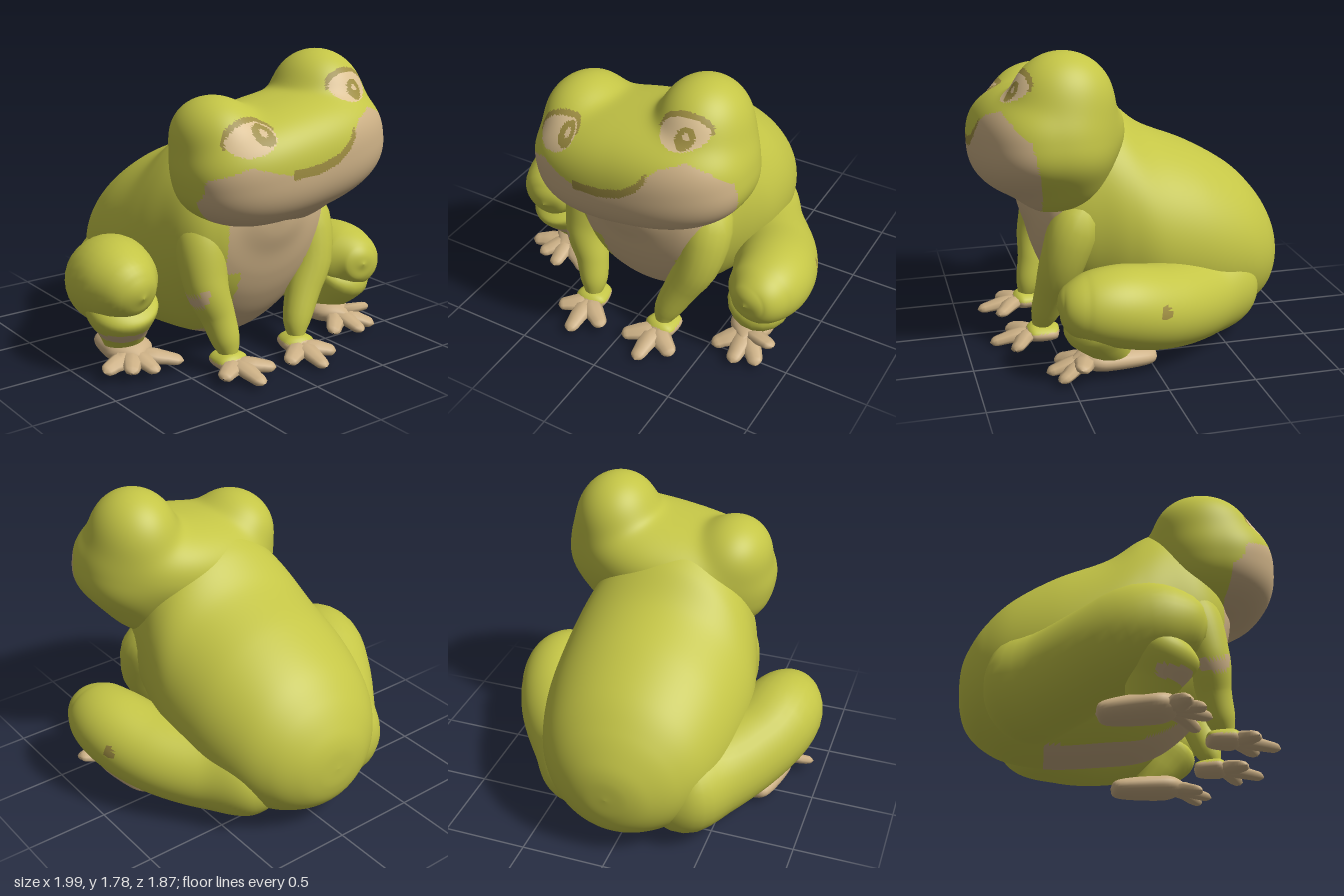
import * as THREE from 'three';
import { mergeVertices } from 'three/addons/utils/BufferGeometryUtils.js';

const flat = (name, color) => {
  const m = new THREE.MeshStandardMaterial({ color });
  m.name = name;
  return m;
};
const green = flat('skin green', 0xc4c546);
const tan = flat('belly tan', 0xccb085);
const cream = flat('eye cream', 0xdcc192);
const brown = flat('marking brown', 0x9f8e42);

const V = (x, y, z) => new THREE.Vector3(x, y, z);
const spline = (pts) => new THREE.CatmullRomCurve3(pts, false, 'catmullrom', 0.5);

// Closed-ring skin over rows of points
function skin(rows) {
  const n = rows[0].length, index = [];
  for (let i = 0; i < rows.length - 1; i++) {
    for (let j = 0; j < n; j++) {
      const a = i * n + j, b = i * n + (j + 1) % n;
      index.push(a, b, a + n, b, b + n, a + n);
    }
  }
  const g = new THREE.BufferGeometry().setFromPoints(rows.flat());
  g.setIndex(index);
  g.computeVertexNormals();
  return g;
}

// Tapering limb through points [x, y, z, radius]; squash scales its height
function limb(pts, squash = 1, steps = 24, sides = 18) {
  const path = spline(pts.map((p) => V(p[0], p[1], p[2])));
  const radius = spline(pts.map((p) => V(p[3], 0, 0)));
  const rows = [];
  for (let i = 0; i <= steps; i++) {
    const t = (1 - Math.cos(Math.PI * i / steps)) / 2;
    const c = path.getPoint(t), r = Math.max(radius.getPoint(t).x, 0.001);
    const T = path.getTangent(t);
    const N = V(1, 0, 0).addScaledVector(T, -T.x).normalize();
    const B = T.clone().cross(N);
    rows.push(Array.from({ length: sides }, (_, j) => {
      const a = j / sides * Math.PI * 2;
      return c.clone().addScaledVector(N, r * Math.cos(a)).addScaledVector(B, r * squash * Math.sin(a));
    }));
  }
  return skin(rows);
}

// Sort triangles into colour groups by a rule on their centres
function paint(g, count, rule) {
  const p = g.attributes.position, id = g.index.array;
  const buckets = Array.from({ length: count }, () => []);
  for (let i = 0; i < id.length; i += 3) {
    const [a, b, c] = [id[i], id[i + 1], id[i + 2]];
    const mid = (get) => (p[get](a) + p[get](b) + p[get](c)) / 3;
    buckets[rule(mid('getX'), mid('getY'), mid('getZ'))].push(a, b, c);
  }
  g.setIndex(buckets.flat());
  let start = 0;
  buckets.forEach((b, k) => { g.addGroup(start, b.length, k); start += b.length; });
  return g;
}

// Piecewise linear lookup
function along(table, x) {
  for (let i = 1; i < table.length; i++) {
    const [x0, y0] = table[i - 1], [x1, y1] = table[i];
    if (x <= x1) return y0 + (y1 - y0) * Math.max(0, (x - x0) / (x1 - x0));
  }
  return table[table.length - 1][1];
}

// Body and neck: elliptical sections [z, bottom, top, half width] from back to front
function bodyGeometry() {
  const s = [
    [-0.94, 0.45, 0.45, 0.002], [-0.93, 0.32, 0.58, 0.14], [-0.89, 0.21, 0.69, 0.26],
    [-0.8, 0.12, 0.83, 0.39], [-0.65, 0.05, 0.98, 0.5], [-0.4, 0.02, 1.13, 0.58],
    [-0.1, 0.04, 1.26, 0.61], [0.1, 0.06, 1.42, 0.58], [0.25, 0.12, 1.48, 0.54],
    [0.4, 0.25, 1.4, 0.5], [0.5, 0.4, 1.25, 0.44], [0.56, 0.54, 1.15, 0.35],
    [0.6, 0.68, 1.08, 0.24], [0.64, 0.8, 1.02, 0.13], [0.66, 0.92, 0.92, 0.002],
  ];
  const side = spline(s.map((r) => V(r[0], r[1], r[2])));
  const width = spline(s.map((r) => V(r[3], 0, 0)));
  const rows = [], steps = 130, sides = 110;
  for (let i = 0; i <= steps; i++) {
    const q = side.getPoint(i / steps), w = Math.max(width.getPoint(i / steps).x, 0.001);
    rows.push(Array.from({ length: sides }, (_, j) => {
      const a = j / sides * Math.PI * 2;
      return V(w * Math.cos(a), (q.y + q.z) / 2 + (q.z - q.y) / 2 * Math.sin(a), q.x);
    }));
  }
  return paint(skin(rows), 2, (x, y, z) => {
    const chest = z > 0.47 && y > 0.6 && x > -0.3;
    const belly = z > -0.45 && x > -0.2 - 0.1 * Math.max(0, 0.3 - y) && x < 0.28
      && y < 0.11 + 2 * Math.max(0, z + 0.02);
    return chest || belly ? 1 : 0;
  });
}

// Head: a sphere pushed out onto blended rounded lumps (jaw, cranium, throat, eye bumps)
function headGeometry() {
  const roll = 0.17, cs = Math.cos(roll), sn = Math.sin(roll), k = 0.03;
  const lumps = [
    { c: [0.09, 1.235, 0.53], r: [0.65, 0.32, 0.4], n: 2.5 },
    { c: [0.08, 1.28, 0.41], r: [0.5, 0.25, 0.36], n: 2.2 },
    { c: [0.2, 1.06, 0.45], r: [0.4, 0.24, 0.27], n: 2 },
    { c: [-0.32, 1.39, 0.46], r: [0.22, 0.21, 0.27], n: 2 },
    { c: [0.42, 1.53, 0.45], r: [0.25, 0.265, 0.28], n: 2 },
  ];
  const field = (p) => {
    let sum = 0;
    for (const { c, r, n } of lumps) {
      const x = p.x - c[0], y = p.y - c[1], z = p.z - c[2];
      const s = Math.abs((x * cs + y * sn) / r[0]) ** n
        + Math.abs((y * cs - x * sn) / r[1]) ** n + Math.abs(z / r[2]) ** n;
      sum += Math.exp(-(s ** (1 / n) - 1) * Math.min(...r) / k);
    }
    return -k * Math.log(sum);
  };
  let g = new THREE.SphereGeometry(1, 220, 150);
  g.deleteAttribute('uv');
  g.deleteAttribute('normal');
  g = mergeVertices(g, 1e-5);
  const pos = g.attributes.position, centre = V(0.07, 1.29, 0.48), d = V(0, 0, 0), p = V(0, 0, 0);
  for (let i = 0; i < pos.count; i++) {
    d.fromBufferAttribute(pos, i).normalize();
    let lo = 0, hi = 1.1;
    for (let n = 0; n < 20; n++) {
      const m = (lo + hi) / 2;
      if (field(p.copy(centre).addScaledVector(d, m)) < 0) lo = m; else hi = m;
    }
    p.copy(centre).addScaledVector(d, lo);
    pos.setXYZ(i, p.x, p.y, p.z);
  }
  g.computeVertexNormals();

  // Upper edge of the pale muzzle; the smile runs along its middle
  const lip = [[-0.6, 1.14], [-0.52, 1.21], [-0.36, 1.28], [-0.22, 1.24], [-0.13, 1.22],
    [0.05, 1.235], [0.17, 1.27], [0.26, 1.33], [0.31, 1.4], [0.38, 1.46], [0.5, 1.5], [0.62, 1.45], [0.72, 1.36]];
  const eyes = [
    { x: -0.31, y: 1.41, px: -0.24, py: 1.43, tilt: 0.3 },
    { x: 0.43, y: 1.61, px: 0.45, py: 1.595, tilt: 0.05 },
  ];
  return paint(g, 4, (x, y, z) => {
    if (z > 0.5) {
      for (const e of eyes) {
        const u = (x - e.x) * Math.cos(e.tilt) + (y - e.y) * Math.sin(e.tilt);
        const v = (y - e.y) * Math.cos(e.tilt) - (x - e.x) * Math.sin(e.tilt);
        const pupil = Math.hypot(x - e.px, y - e.py);
        if (Math.hypot(x - e.px - 0.005, y - e.py - 0.01) < 0.018) return 2;
        if (pupil < 0.052) return 3;
        if (Math.hypot(u / 0.135, v / 0.075) < 1) return 2;
        if (v > 0 && Math.hypot(u / 0.15, v / 0.1) < 1) return 3;
      }
      const edge = along(lip, x);
      if (x > -0.13 && x < 0.315 && Math.abs(y - edge) < 0.027) return 3;
      if (y < edge && x > -0.535 && z > 0.57 + 0.22 * Math.max(0, y - 0.9)) return 1;
    }
    return 0;
  });
}

export function createModel() {
  const frog = new THREE.Group();
  frog.name = 'frog';
  const add = (name, geometry, material, parent = frog) => {
    const m = new THREE.Mesh(geometry, material);
    m.name = name;
    parent.add(m);
  };

  add('body', bodyGeometry(), [green, tan]);
  add('head', headGeometry(), [green, tan, cream, brown]);

  // Front arms; the right one has a small pale patch at the elbow
  const rightArm = limb([[-0.25, 1.0, 0.25, 0.02], [-0.34, 0.83, 0.37, 0.15], [-0.375, 0.55, 0.46, 0.128],
    [-0.32, 0.35, 0.5, 0.1], [-0.29, 0.2, 0.54, 0.08], [-0.28, 0.09, 0.58, 0.03]], 1, 60, 40);
  add('rightArm', paint(rightArm, 2, (x, y, z) =>
    z > 0.4 && Math.hypot((x + 0.46) / 0.04, (y - 0.48 - (x + 0.46)) / 0.05) < 1 ? 1 : 0), [green, tan]);
  add('leftArm', limb([[0.3, 1.0, 0.22, 0.02], [0.4, 0.83, 0.36, 0.145], [0.4, 0.58, 0.46, 0.13],
    [0.31, 0.38, 0.5, 0.105], [0.23, 0.2, 0.54, 0.08], [0.21, 0.09, 0.58, 0.03]]), green);

  // Folded hind legs flow out of the hips; the left thigh carries a small spot
  const leftThigh = limb([[0.08, 0.38, -0.68, 0.02], [0.24, 0.33, -0.52, 0.28], [0.44, 0.31, -0.3, 0.27],
    [0.65, 0.36, -0.04, 0.255], [0.755, 0.43, 0.22, 0.24], [0.76, 0.45, 0.42, 0.195],
    [0.745, 0.46, 0.53, 0.11], [0.74, 0.46, 0.565, 0.002]], 0.95, 110, 90);
  add('leftThigh', paint(leftThigh, 2, (x, y, z) =>
    x > 0.7 && Math.hypot(z / 0.03, (y - 0.44) / 0.045) < 1 ? 1 : 0), [green, brown]);
  add('rightThigh', limb([[-0.1, 0.38, -0.74, 0.02], [-0.26, 0.35, -0.57, 0.29], [-0.45, 0.37, -0.36, 0.28],
    [-0.64, 0.45, -0.14, 0.26], [-0.74, 0.53, 0.06, 0.255], [-0.76, 0.54, 0.24, 0.21],
    [-0.75, 0.52, 0.36, 0.12], [-0.745, 0.51, 0.4, 0.002]], 1, 40, 32), green);
  add('leftShin', limb([[0.75, 0.46, 0.4, 0.05], [0.745, 0.37, 0.36, 0.185], [0.71, 0.23, 0.28, 0.145],
    [0.68, 0.1, 0.2, 0.08]]), green);
  const rightShin = limb([[-0.76, 0.52, 0.22, 0.05], [-0.75, 0.42, 0.17, 0.205], [-0.71, 0.25, 0.11, 0.15],
    [-0.69, 0.1, 0.06, 0.09]], 1, 50, 40);
  add('rightShin', paint(rightShin, 2, (x, y, z) =>
    z > 0.12 && Math.abs(y - 0.245) < 0.03 ? 1 : 0), [green, tan]);

  // Feet: a flat sole from heel to ball, then spreading pointed toes
  const foot = (name, heel, ball, r, tips, isGreen) => {
    const g = new THREE.Group();
    g.name = name;
    frog.add(g);
    const mix = (a, b, t) => a.map((v, i) => v + (b[i] - v) * t);
    const sole = limb([[...heel, 0.005], [...mix(heel, ball, 0.12), r * 0.75], [...mix(heel, ball, 0.7), r],
      [...ball, r * 0.85], [...mix(heel, ball, 1.25), 0.005]], 0.55, 30, 28);
    add('sole', paint(sole, 2, (x, y, z) => isGreen(y, z) ? 1 : 0), [tan, green], g);
    for (const tip of tips) {
      add('toe', limb([[...mix(heel, ball, 0.75), 0.03], [...mix(ball, tip, 0.25), 0.062],
        [...mix(ball, tip, 0.7), 0.05], [...mix(ball, tip, 0.9), 0.04], [...tip, 0.004]], 0.6, 12, 8), tan, g);
    }
  };
  const wrist = (y, z) => y > 0.1 && z < 0.64;
  const none = () => false;
  foot('leftHand', [0.23, 0.08, 0.45], [0.2, 0.085, 0.62], 0.1,
    [[0.02, 0.05, 0.73], [0.19, 0.03, 0.86], [0.37, 0.045, 0.74]], wrist);
  foot('rightHand', [-0.29, 0.09, 0.45], [-0.28, 0.095, 0.62], 0.1,
    [[-0.44, 0.07, 0.72], [-0.27, 0.05, 0.87], [-0.1, 0.07, 0.76]], wrist);
  foot('leftFoot', [0.65, 0.08, -0.02], [0.69, 0.11, 0.38], 0.13,
    [[0.53, 0.05, 0.54], [0.7, 0.05, 0.62], [0.84, 0.05, 0.57], [0.89, 0.13, 0.46]], none);
  foot('rightFoot', [-0.64, 0.09, -0.18], [-0.7, 0.12, 0.2], 0.14,
    [[-0.94, 0.08, 0.28], [-0.82, 0.08, 0.38], [-0.68, 0.07, 0.43], [-0.47, 0.07, 0.38]], none);

  return frog;
}
